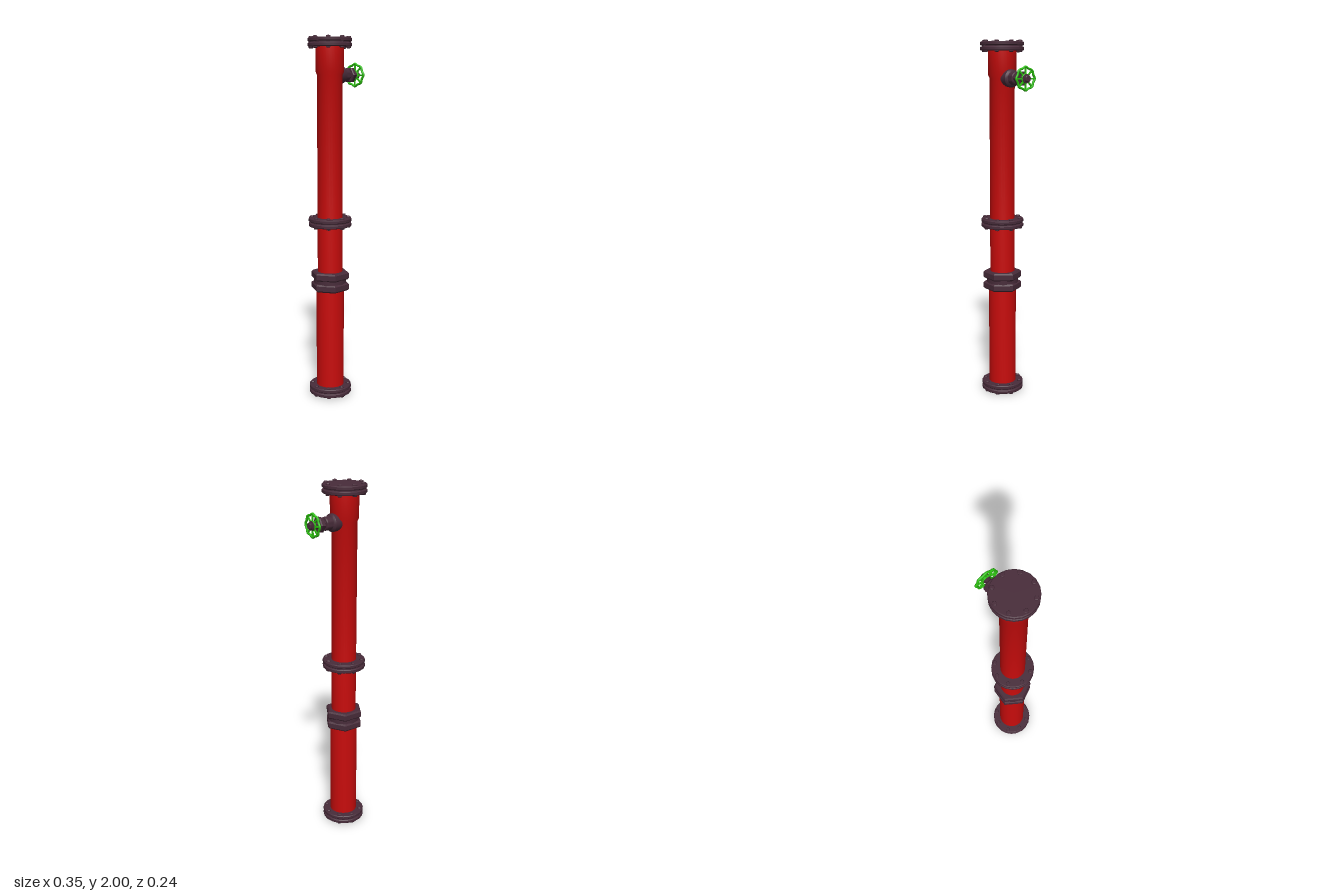
import * as THREE from 'three';
import { toCreasedNormals } from 'three/addons/utils/BufferGeometryUtils.js';

const red = new THREE.MeshStandardMaterial({ color: 0xc80c0c });
const iron = new THREE.MeshStandardMaterial({ color: 0x482c3a });
const green = new THREE.MeshStandardMaterial({ color: 0x2cc010 });

// Turned part from [radius, height] pairs, listed bottom to top
function turned(name, profile, material, sides = 32, turn = 0) {
  const points = profile.map(([r, y]) => new THREE.Vector2(r, y));
  const geometry = toCreasedNormals(new THREE.LatheGeometry(points, sides, turn), 0.6);
  const mesh = new THREE.Mesh(geometry, material);
  mesh.name = name;
  return mesh;
}

// Solid with chamfered rims
function chamfered(name, r, y0, y1, c, material, sides, turn) {
  return turned(name, [[0, y0], [r - c, y0], [r, y0 + c], [r, y1 - c], [r - c, y1], [0, y1]],
    material, sides, turn);
}

// Pair of bolted discs with a gasket between them
function flange(y) {
  const g = new THREE.Group();
  g.name = 'flange';
  g.position.y = y;
  g.add(
    chamfered('lowerDisc', 0.119, -0.024, -0.003, 0.004, iron, 20),
    chamfered('upperDisc', 0.119, 0.003, 0.024, 0.004, iron, 20),
    chamfered('gasket', 0.108, -0.005, 0.005, 0.001, iron, 20));
  for (let i = 0; i < 8; i++) {
    const a = 0.08 + i * Math.PI / 4;
    const bolt = chamfered('bolt', 0.0125, -0.032, 0.032, 0.003, iron, 6, a);
    bolt.position.set(0.101 * Math.cos(a), 0, 0.101 * Math.sin(a));
    g.add(bolt);
  }
  return g;
}

// Handwheel lying in the XZ plane: lobed rim, spokes and hub
function handwheel() {
  const g = new THREE.Group();
  g.name = 'handwheel';
  const rim = new THREE.TorusGeometry(0.058, 0.0065, 8, 64);
  const p = rim.attributes.position;
  for (let i = 0; i < p.count; i++) {
    const x = p.getX(i), y = p.getY(i);
    const k = 1 + 0.05 * Math.cos(8 * Math.atan2(y, x));
    p.setXY(i, x * k, y * k);
  }
  rim.computeVertexNormals();
  rim.rotateX(Math.PI / 2);
  const rimMesh = new THREE.Mesh(rim, green);
  rimMesh.name = 'rim';
  g.add(rimMesh);
  for (let i = 0; i < 8; i++) {
    const spoke = new THREE.Mesh(new THREE.BoxGeometry(0.04, 0.007, 0.008).translate(0.038, 0, 0), green);
    spoke.name = 'spoke';
    spoke.rotation.y = i * Math.PI / 4;
    g.add(spoke);
  }
  g.add(chamfered('hub', 0.026, -0.006, 0.006, 0.002, green, 24));
  return g;
}

// Side valve, built along +y from the column axis and laid over to +x
function valve() {
  const g = new THREE.Group();
  g.name = 'valve';
  g.add(
    turned('valveBody', [
      [0, 0.05], [0.048, 0.05], [0.048, 0.09], [0.043, 0.096], [0.036, 0.1],
      [0.036, 0.133], [0.032, 0.138], [0.025, 0.139], [0.025, 0.153],
      [0.02, 0.178], [0.017, 0.186], [0.017, 0.2], [0.024, 0.204], [0.024, 0.219],
      [0.018, 0.221], [0.018, 0.23], [0.014, 0.234], [0, 0.234]], iron, 24),
    chamfered('packingNut', 0.043, 0.151, 0.18, 0.005, iron, 6));
  const wheel = handwheel();
  wheel.position.y = 0.208;
  g.add(wheel);
  g.rotation.z = -Math.PI / 2;
  const mount = new THREE.Group();
  mount.name = 'valveMount';
  mount.position.y = 1.797;
  mount.rotation.y = 0.05;
  mount.add(g);
  return mount;
}

export function createModel() {
  const model = new THREE.Group();
  model.name = 'standpipe';
  const column = new THREE.Group();
  column.name = 'column';
  column.position.x = -0.058;
  model.add(column);

  // Pipe sections
  column.add(
    turned('lowerPipe', [[0, 0.03], [0.077, 0.03], [0.077, 0.64], [0, 0.64]], red),
    turned('middlePipe', [[0, 0.64], [0.069, 0.64], [0.069, 1], [0, 1]], red),
    turned('upperPipe', [[0, 1], [0.069, 1], [0.069, 1.797], [0.077, 1.815], [0.077, 1.97], [0, 1.97]], red));

  // Bolted joints at the foot, middle and cap
  for (const y of [0.032, 0.998, 1.968]) column.add(flange(y));

  // Union coupling: two hexagonal nuts on a collar
  column.add(
    chamfered('lowerNut', 0.108, 0.611, 0.654, 0.008, iron, 6, Math.PI / 6),
    chamfered('couplingCollar', 0.09, 0.645, 0.685, 0.003, iron, 24),
    chamfered('upperNut', 0.108, 0.673, 0.717, 0.008, iron, 6, Math.PI / 6));

  column.add(valve());
  return model;
}
